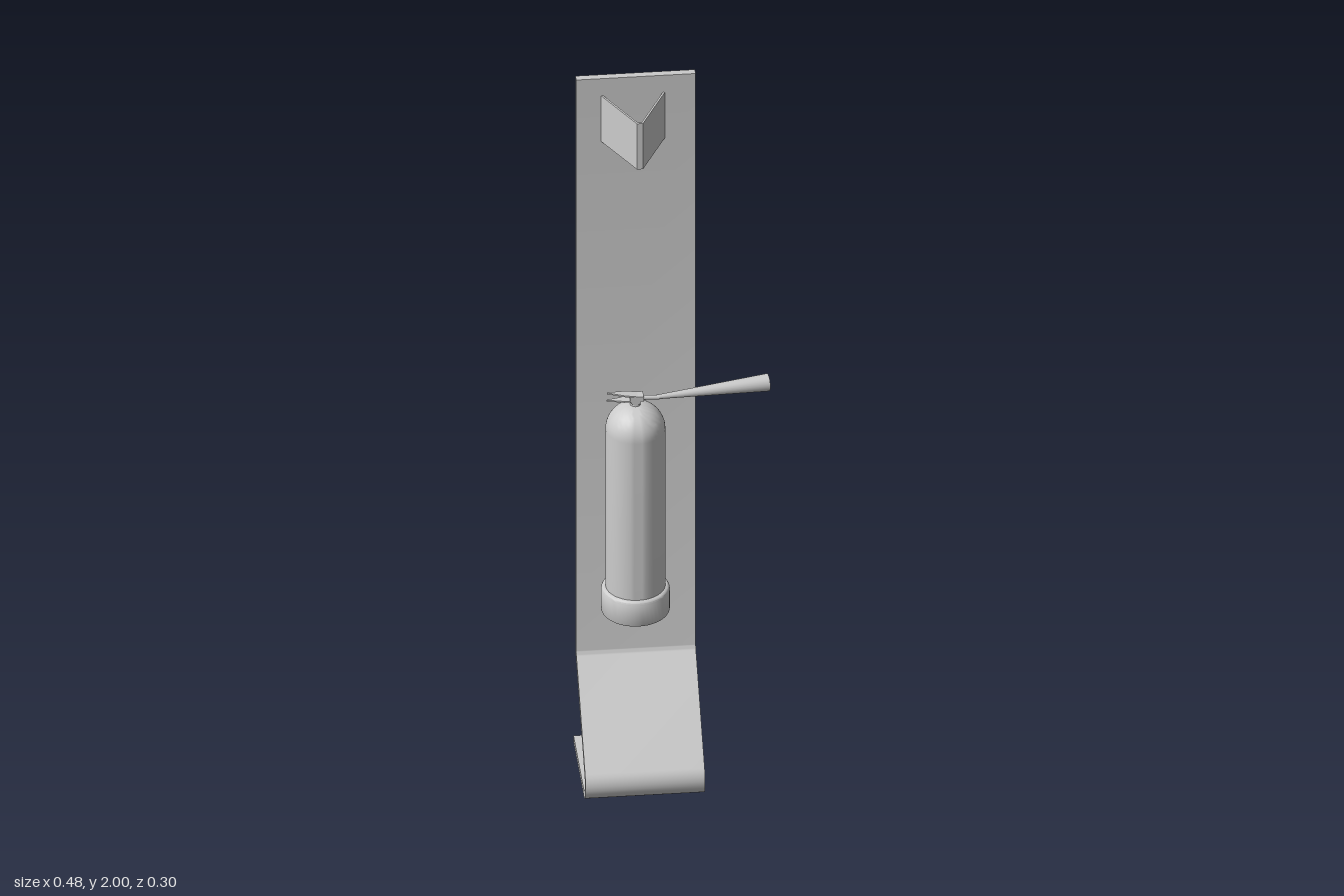
import * as THREE from 'three';
import { toCreasedNormals } from 'three/addons/utils/BufferGeometryUtils.js';

const CX = -0.1; // x of the extinguisher axis
const material = new THREE.MeshStandardMaterial({ color: 0xcccccc, side: THREE.DoubleSide });

function add(parent, name, geometry, x = 0, y = 0, z = 0) {
  const mesh = new THREE.Mesh(geometry, material);
  mesh.name = name;
  mesh.position.set(x, y, z);
  parent.add(mesh);
  return mesh;
}

// Closed outline of a strip of even thickness along a centre line, with mitred joints
function stripShape(points, thickness) {
  const sides = [[], []];
  points.forEach((p, i) => {
    const before = p.clone().sub(points[Math.max(i - 1, 0)]).normalize();
    const after = points[Math.min(i + 1, points.length - 1)].clone().sub(p).normalize();
    const dir = before.clone().add(after).normalize();
    const n = new THREE.Vector2(-dir.y, dir.x);
    const ref = after.lengthSq() ? after : before;
    const d = thickness / 2 / Math.max(0.4, dir.dot(ref));
    sides[0].push(p.clone().addScaledVector(n, d));
    sides[1].unshift(p.clone().addScaledVector(n, -d));
  });
  return new THREE.Shape([...sides[0], ...sides[1]]);
}

// Points of a polyline whose inner corners [a, b, radius] are rounded
function roundedLine(corners, steps = 10) {
  const out = [];
  corners.forEach(([a, b, r], i) => {
    const p = new THREE.Vector2(a, b);
    if (!r) return out.push(p);
    const u = new THREE.Vector2(...corners[i - 1].slice(0, 2)).sub(p).normalize();
    const v = new THREE.Vector2(...corners[i + 1].slice(0, 2)).sub(p).normalize();
    const half = Math.acos(u.dot(v)) / 2;
    const centre = p.clone().addScaledVector(u.clone().add(v).normalize(), r / Math.sin(half));
    const start = p.clone().addScaledVector(u, r / Math.tan(half));
    const turn = (Math.PI - 2 * half) * Math.sign(v.cross(u));
    for (let k = 0; k <= steps; k++) {
      out.push(start.clone().rotateAround(centre, turn * k / steps));
    }
  });
  return out;
}

// Tube-like cone between two points
function cone(parent, name, from, to, r0, r1, open = false) {
  const a = new THREE.Vector3(...from), b = new THREE.Vector3(...to);
  const dir = b.clone().sub(a);
  const mesh = add(parent, name, new THREE.CylinderGeometry(r1, r0, dir.length(), 24, 1, open));
  mesh.position.copy(a).add(b).multiplyScalar(0.5);
  mesh.quaternion.setFromUnitVectors(new THREE.Vector3(0, 1, 0), dir.normalize());
  return mesh;
}

export function createModel() {
  const model = new THREE.Group();
  model.name = 'extinguisherStand';

  // Bent sheet: foot, sloping leg and tall back panel
  const line = roundedLine([[-0.15, 0.01], [0.197, 0.01, 0.04], [-0.095, 0.302, 0.04], [-0.095, 2]]);
  const sheet = new THREE.ExtrudeGeometry(stripShape(line, 0.019), { depth: 0.3, bevelEnabled: false });
  sheet.rotateY(-Math.PI / 2); // profile x becomes z, depth runs to -x
  add(model, 'bentStand', toCreasedNormals(sheet, 0.6), 0.06);

  // V-shaped sign plate near the top
  const vee = [[-0.175, 0.085], [-0.1, -0.052], [-0.088, -0.052], [-0.02, 0.085]]
    .map(p => new THREE.Vector2(...p));
  const sign = new THREE.ExtrudeGeometry(stripShape(vee, 0.005), { depth: 0.135, bevelEnabled: false });
  sign.rotateX(-Math.PI / 2);
  add(model, 'signPlate', toCreasedNormals(sign, 0.3), 0, 1.815);

  const extinguisher = new THREE.Group();
  extinguisher.name = 'extinguisher';
  extinguisher.position.x = CX;
  model.add(extinguisher);

  // Cylinder body with domed shoulder
  const body = [new THREE.Vector2(0.001, 0.5), new THREE.Vector2(0.075, 0.5)];
  for (let i = 0; i <= 12; i++) {
    const t = i / 12 * Math.PI / 2;
    body.push(new THREE.Vector2(Math.max(0, 0.075 * Math.cos(t)), 1.015 + 0.073 * Math.sin(t)));
  }
  add(extinguisher, 'body', toCreasedNormals(new THREE.LatheGeometry(body, 48), 0.6));

  // Boot around the bottom
  const boot = roundedLine([[0, 0.48], [0.086, 0.48, 0.006], [0.086, 0.553, 0.012], [0.073, 0.553]], 5);
  add(extinguisher, 'boot', toCreasedNormals(new THREE.LatheGeometry(boot, 48), 0.6));

  // Valve: neck, cross barrel and block
  add(extinguisher, 'neck', new THREE.CylinderGeometry(0.011, 0.014, 0.03, 20), 0, 1.095);
  add(extinguisher, 'valveBarrel', new THREE.CylinderGeometry(0.013, 0.013, 0.026, 20), 0, 1.103)
    .rotation.x = Math.PI / 2;
  add(extinguisher, 'valveBlock', new THREE.BoxGeometry(0.034, 0.014, 0.026), 0.003, 1.108);

  // Squeeze levers, tapering towards the tip
  const leverShape = new THREE.Shape([[0.005, -0.013], [0.005, 0.013], [-0.03, 0.011], [-0.072, 0.001], [-0.072, -0.001], [-0.03, -0.011]]
    .map(p => new THREE.Vector2(...p)));
  for (const [name, y, tilt] of [['upperLever', 1.112, -0.12], ['lowerLever', 1.099, 0]]) {
    const lever = new THREE.ExtrudeGeometry(leverShape, { depth: 0.004, bevelEnabled: false });
    lever.rotateX(-Math.PI / 2);
    add(extinguisher, name, lever, 0, y).rotation.z = tilt;
  }

  // Outlet pipe and flared horn
  cone(extinguisher, 'outlet', [0.015, 1.105, 0], [0.06, 1.103, 0], 0.006, 0.006);
  cone(extinguisher, 'horn', [0.045, 1.103, 0], [0.338, 1.1, -0.046], 0.005, 0.0225, true);
  return model;
}
